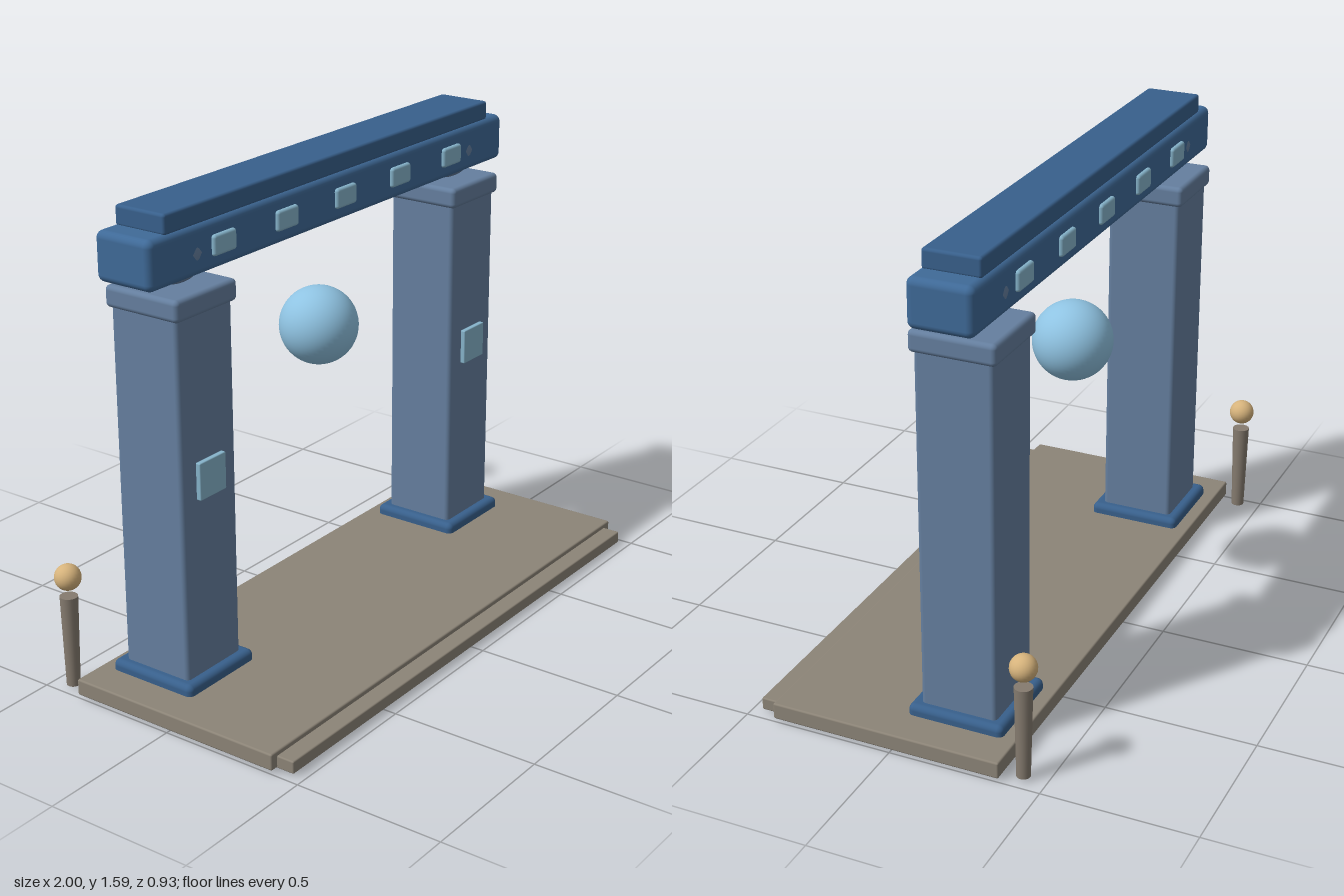
import * as THREE from 'three';
import { RoundedBoxGeometry } from 'three/addons/geometries/RoundedBoxGeometry.js';

const mat = (color) => new THREE.MeshStandardMaterial({ color });

export function createModel() {
  const group = new THREE.Group();
  const stone = mat(0x8c8477), postStone = mat(0x857b6f), pillarBlue = mat(0x657f9f);
  const beamBlue = mat(0x3f6a98), darkBlue = mat(0x38608c), glow = mat(0x8fc3e2);
  const tile = mat(0x86b4cb), gold = mat(0xd6b37c), underStone = mat(0x8f8362);
  const Z = -0.16; // depth of the arch

  function add(name, geometry, material, x, y, z) {
    const mesh = new THREE.Mesh(geometry, material);
    mesh.name = name;
    mesh.position.set(x, y, z);
    group.add(mesh);
    return mesh;
  }

  // Rounded box given by its ranges in y and z, and its centre and width in x
  function block(name, material, x, width, y0, y1, z0, z1, radius) {
    const geometry = new RoundedBoxGeometry(width, y1 - y0, z1 - z0, 3, radius);
    return add(name, geometry, material, x, (y0 + y1) / 2, (z0 + z1) / 2);
  }

  // Floor slab, front step and panel set into the underside
  block('platform', stone, 0, 2, 0.01, 0.065, -0.365, 0.405, 0.006);
  block('frontStep', stone, -0.003, 1.94, 0.008, 0.05, 0.305, 0.465, 0.005);
  block('undersidePanel', underStone, 0, 0.92, 0.007, 0.04, -0.17, 0.23, 0.002);

  for (const side of [-1, 1]) {
    const x = side * 0.723 - 0.003;
    // Pillar with foot, cap, ball joint and front tile
    block('pillarFoot', darkBlue, x, 0.316, 0.006, 0.1, Z - 0.16, Z + 0.16, 0.02);
    block('pillar', pillarBlue, x, 0.256, 0, 1.3, Z - 0.127, Z + 0.127, 0.016);
    block('pillarCap', pillarBlue, x, 0.28, 1.27, 1.34, Z - 0.14, Z + 0.14, 0.016);
    add('ballJoint', new THREE.SphereGeometry(0.108, 32, 20), pillarBlue, x, 1.443, Z);
    block('pillarTile', tile, x, 0.122, 0.688, 0.81, -0.05, -0.017, 0.004);

    // Lamp post behind the platform corner
    const px = side * 0.952 - 0.003;
    add('lampPost', new THREE.CylinderGeometry(0.029, 0.022, 0.31, 24), postStone, px, 0.165, -0.425);
    add('lampBall', new THREE.SphereGeometry(0.043, 24, 16), gold, px, 0.385, -0.425);
  }

  // Lintel with its upper course
  block('lintel', beamBlue, -0.003, 1.865, 1.373, 1.53, Z - 0.106, Z + 0.106, 0.024);
  block('lintelTop', darkBlue, -0.003, 1.704, 1.525, 1.59, Z - 0.094, Z + 0.094, 0.01);

  // Five studs on the front and back of the lintel
  for (let i = -2; i <= 2; i++) {
    for (const face of [-1, 1]) {
      const z = Z + face * 0.1;
      block('lintelStud', tile, i * 0.303 - 0.003, 0.105, 1.418, 1.484, z - 0.019, z + 0.019, 0.01);
    }
  }

  // Floating orb in the gateway
  add('orb', new THREE.SphereGeometry(0.131, 48, 32), glow, -0.003, 0.997, Z);

  return group;
}
